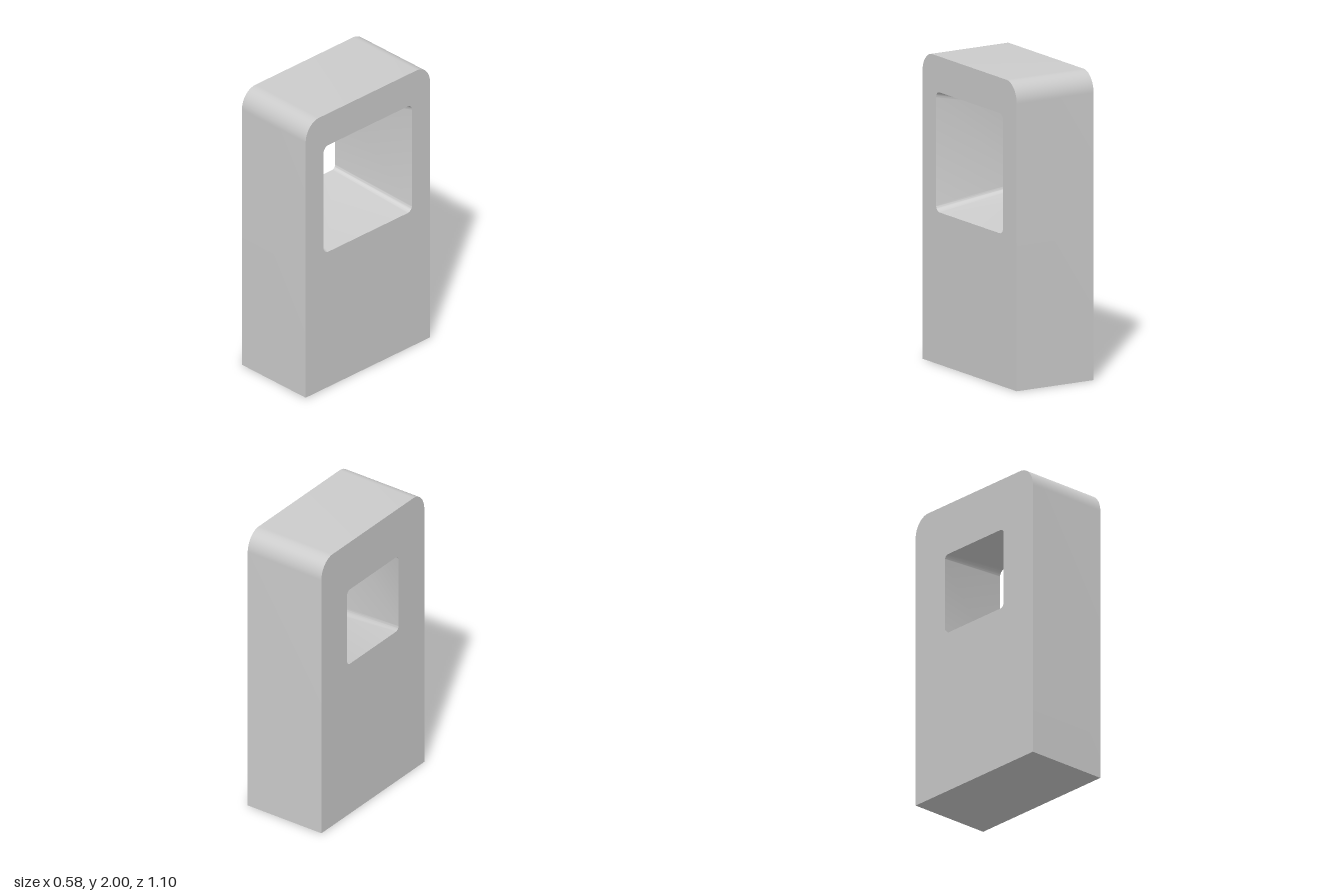
import * as THREE from 'three';
import { toCreasedNormals } from 'three/addons/utils/BufferGeometryUtils.js';

const HALF_DEPTH = 0.29; // half of the body's width in x
const material = new THREE.MeshStandardMaterial({ color: 0xcccccc });

// Counter-clockwise rectangle; corners bottom and top have their own [rx, ry] radii
function roundedLoop(halfWidth, y0, y1, bottom, top, steps = 10) {
  const points = [];
  const corners = [[-1, -1, bottom], [1, -1, bottom], [1, 1, top], [-1, 1, top]];
  corners.forEach(([sx, sy, [rx, ry]], i) => {
    const cx = sx * (halfWidth - rx);
    const cy = sy < 0 ? y0 + ry : y1 - ry;
    const n = rx > 0 ? steps : 0;
    for (let k = 0; k <= n; k++) {
      const a = Math.PI + (i + (n ? k / n : 0)) * Math.PI / 2;
      points.push(new THREE.Vector2(cx + rx * Math.cos(a), cy + ry * Math.sin(a)));
    }
  });
  return points;
}

// Wall joining two loops with equal point counts, facing out for counter-clockwise loops
function loft(back, front) {
  const positions = [];
  const add = (p, z) => positions.push(p.x, p.y, z);
  back.forEach((A, i) => {
    const j = (i + 1) % back.length;
    const B = back[j], a = front[i], b = front[j];
    add(A, -HALF_DEPTH); add(B, -HALF_DEPTH); add(b, HALF_DEPTH);
    add(A, -HALF_DEPTH); add(b, HALF_DEPTH); add(a, HALF_DEPTH);
  });
  const geometry = new THREE.BufferGeometry();
  geometry.setAttribute('position', new THREE.Float32BufferAttribute(positions, 3));
  geometry.computeVertexNormals();
  return toCreasedNormals(geometry, Math.PI / 6);
}

// Flat face with a window cut through it
function panel(outline, hole) {
  const shape = new THREE.Shape(outline);
  shape.holes.push(new THREE.Path(hole));
  return new THREE.ShapeGeometry(shape);
}

export function createModel() {
  const group = new THREE.Group();
  const addPart = (name, geometry) => {
    geometry.rotateY(Math.PI / 2); // profile plane faces +x
    const mesh = new THREE.Mesh(geometry, material);
    mesh.name = name;
    group.add(mesh);
  };

  const outline = roundedLoop(0.548, 0, 2, [0, 0], [0.118, 0.135], 16);
  const wideHole = roundedLoop(0.39, 0.988, 1.768, [0.042, 0.042], [0.042, 0.042]);
  const narrowHole = roundedLoop(0.274, 1.104, 1.652, [0.03, 0.03], [0.03, 0.03]);

  // Outer shell with rounded top edges, including the base
  addPart('outerShell', loft(outline, outline));

  // Side faces: wide window on the left, narrow one on the right
  addPart('leftFace', panel(outline, wideHole).translate(0, 0, HALF_DEPTH));
  addPart('rightFace', panel(outline, narrowHole).rotateY(Math.PI).translate(0, 0, -HALF_DEPTH));

  // Tapered window tunnel, loops reversed so the walls face inward
  addPart('windowTunnel', loft([...narrowHole].reverse(), [...wideHole].reverse()));

  return group;
}
